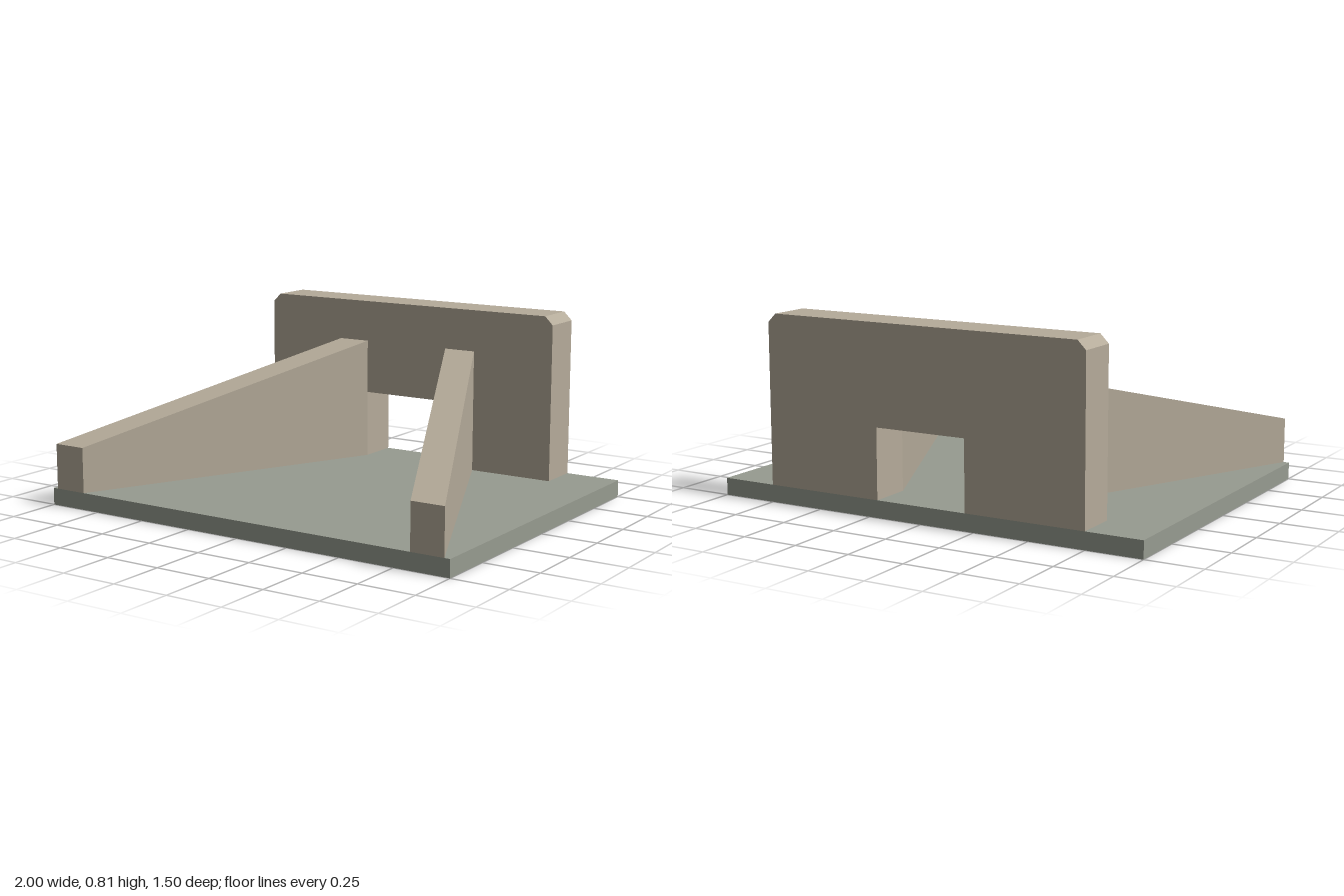
import * as THREE from 'three';

const BASE_TOP = 0.075;
const FRONT = 0.75, BACK = -0.75, WALL_FRONT = -0.5625;

const concrete = new THREE.MeshStandardMaterial({ color: 0xb5ab9a, flatShading: true });
const slab = new THREE.MeshStandardMaterial({ color: 0x979b90, flatShading: true });

function part(name, geometry, material) {
  const mesh = new THREE.Mesh(geometry, material);
  mesh.name = name;
  return mesh;
}

// Upright wall with chamfered top corners and a square culvert opening at its foot
function headwallGeometry() {
  const w = 0.75, top = 0.8125, c = 0.0375, openW = 0.21, openTop = 0.38;
  const outline = [
    [-w, BASE_TOP], [-openW, BASE_TOP], [-openW, openTop], [openW, openTop],
    [openW, BASE_TOP], [w, BASE_TOP], [w, top - c], [w - c, top],
    [-w + c, top], [-w, top - c],
  ].map(([x, y]) => new THREE.Vector2(x, y));
  const geometry = new THREE.ExtrudeGeometry(new THREE.Shape(outline), {
    depth: WALL_FRONT - BACK, bevelEnabled: false,
  });
  return geometry.translate(0, 0, BACK);
}

// Splayed wall, sloping down and outward from the opening to the front edge
function wingGeometry(side) {
  const geometry = new THREE.BoxGeometry(0.15, 1, 1);
  const p = geometry.attributes.position;
  for (let i = 0; i < p.count; i++) {
    const atFront = p.getZ(i) > 0;
    const top = atFront ? 0.275 : 0.625;
    p.setXYZ(
      i,
      p.getX(i) + side * (atFront ? 0.9 : 0.285),
      p.getY(i) > 0 ? top : BASE_TOP,
      atFront ? FRONT : WALL_FRONT,
    );
  }
  geometry.computeVertexNormals();
  return geometry;
}

export function createModel() {
  const model = new THREE.Group();
  model.name = 'culvertHeadwall';

  const base = new THREE.BoxGeometry(2, BASE_TOP, FRONT - BACK).translate(0, BASE_TOP / 2, 0);
  model.add(part('baseSlab', base, slab));
  model.add(part('headwall', headwallGeometry(), concrete));
  model.add(part('leftWingWall', wingGeometry(1), concrete));
  model.add(part('rightWingWall', wingGeometry(-1), concrete));
  return model;
}
